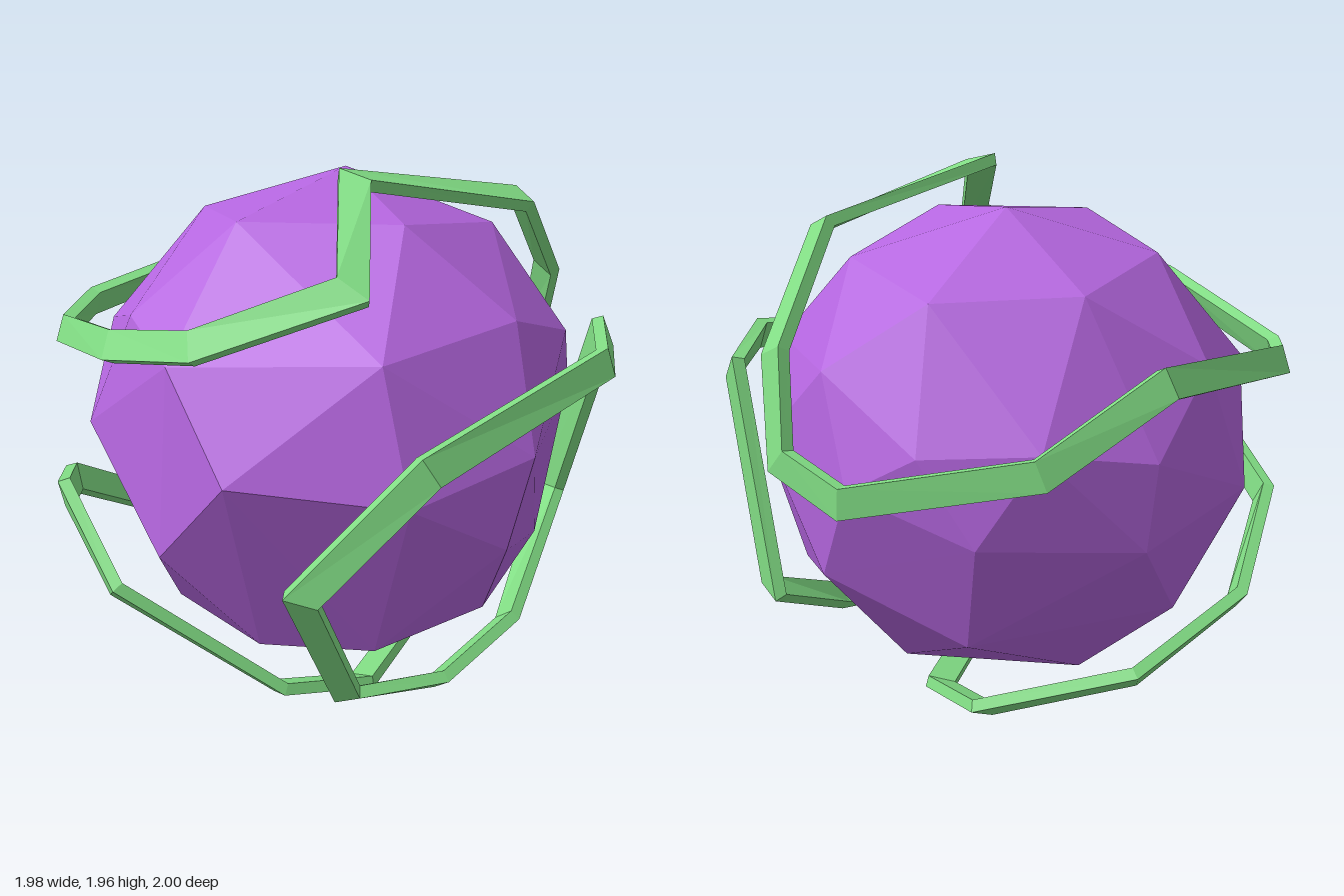
import * as THREE from 'three';
import { ConvexGeometry } from 'three/addons/geometries/ConvexGeometry.js';

const V = (p) => new THREE.Vector3(...p);
const CENTER = new THREE.Vector3(0, 1, 0);

// Closed angular band: rectangular section, facing away from the core, mitred at corners
function bandGeometry(path, width, thick) {
  const pts = path.map(V), n = pts.length;
  const rings = pts.map((p, i) => {
    const d0 = p.clone().sub(pts[(i + n - 1) % n]).normalize();
    const d1 = pts[(i + 1) % n].clone().sub(p).normalize();
    const t = d0.clone().add(d1).normalize();
    const out = p.clone().sub(CENTER);
    out.addScaledVector(t, -out.dot(t)).normalize();
    const side = t.clone().cross(out);
    const miter = Math.min(1.5, 1 / Math.max(0.3, t.dot(d1)));
    return [[1, 1], [1, -1], [-1, -1], [-1, 1]].map(([s, o]) => p.clone()
      .addScaledVector(side, s * width / 2 * miter)
      .addScaledVector(out, o * thick / 2));
  });
  const tris = [];
  rings.forEach((r, i) => {
    const q = rings[(i + 1) % n];
    for (let k = 0; k < 4; k++) {
      const m = (k + 1) % 4;
      tris.push(r[k], r[m], q[m], r[k], q[m], q[k]);
    }
  });
  const g = new THREE.BufferGeometry().setFromPoints(tris);
  g.computeVertexNormals();
  return g;
}

// Core corners as directions, from crown to base
const CORE = [
  [.05, .83, -.24], [-.33, .77, .22], [.2, .78, .32], [-.45, .68, -.3], [.55, .66, -.1],
  [.1, .47, .73], [-.56, .4, .53], [-.68, .47, .25], [.55, .5, .45], [.78, .35, .15],
  [.68, .35, -.42], [.35, .58, -.55], [-.13, .6, -.62], [-.55, .35, -.57], [-.78, .3, -.2],
  [-.39, .09, .77], [.18, .04, .85], [.6, .1, .62], [.85, .05, -.1], [.62, 0, -.6],
  [.42, .14, -.75], [.05, .16, -.85], [-.33, .1, -.8], [-.85, .05, .15], [-.74, -.11, -.44],
  [-.61, -.26, .56], [.52, -.21, .67], [.73, -.46, .1], [.7, -.35, -.4],
  [.25, -.14, -.82], [-.3, -.19, -.8], [-.47, -.49, -.55], [-.78, -.35, -.12],
  [-.29, -.65, .5], [.1, -.64, .58], [.48, -.53, .5], [-.06, -.84, .25], [.48, -.67, .27],
  [.4, -.74, -.2], [.25, -.54, -.64], [-.2, -.8, -.33], [-.57, -.62, .2], [-.45, -.74, -.08],
];

// Corner points of the three closed bands
const BANDS = {
  upperBand: [
    [.01, 1.7, .71], [.04, 1.935, .33], [.64, 1.765, -.04], [.82, 1.41, -.39],
    [.82, 1.1, -.55], [.65, 1.02, -.76], [.08, 1.14, -.975], [-.33, 1.37, -.865],
    [-.88, 1.31, -.36], [-.955, 1.29, -.12], [-.73, 1.46, .49], [-.47, 1.53, .7],
  ],
  frontBand: [
    [-.16, .81, .967], [.22, 1.22, .945], [.87, 1.32, .38], [.955, 1.28, -.01],
    [.86, .55, -.235], [.61, .29, .3], [.33, .22, .56], [0, .27, .7],
  ],
  lowerBand: [
    [.265, .045, -.04], [.17, .14, -.44], [-.32, .3, -.62], [-.75, .47, -.4], [-.96, .73, -.06],
    [-.945, .82, .23], [-.77, .58, .49], [-.22, .15, .48], [.08, .075, .35],
  ],
};

export function createModel() {
  const purple = new THREE.MeshStandardMaterial({ color: 0xb667e1 });
  purple.name = 'purple';
  const green = new THREE.MeshStandardMaterial({ color: 0x82de85 });
  green.name = 'green';
  const model = new THREE.Group();
  model.name = 'bandedOrb';

  // Faceted core
  const core = new THREE.Mesh(new ConvexGeometry(CORE.map((p) => V(p).setLength(0.872))), purple);
  core.name = 'core';
  core.position.copy(CENTER);
  model.add(core);

  // Floating bands
  for (const [name, path] of Object.entries(BANDS)) {
    const band = new THREE.Mesh(bandGeometry(path, 0.095, 0.043), green);
    band.name = name;
    model.add(band);
  }
  return model;
}
